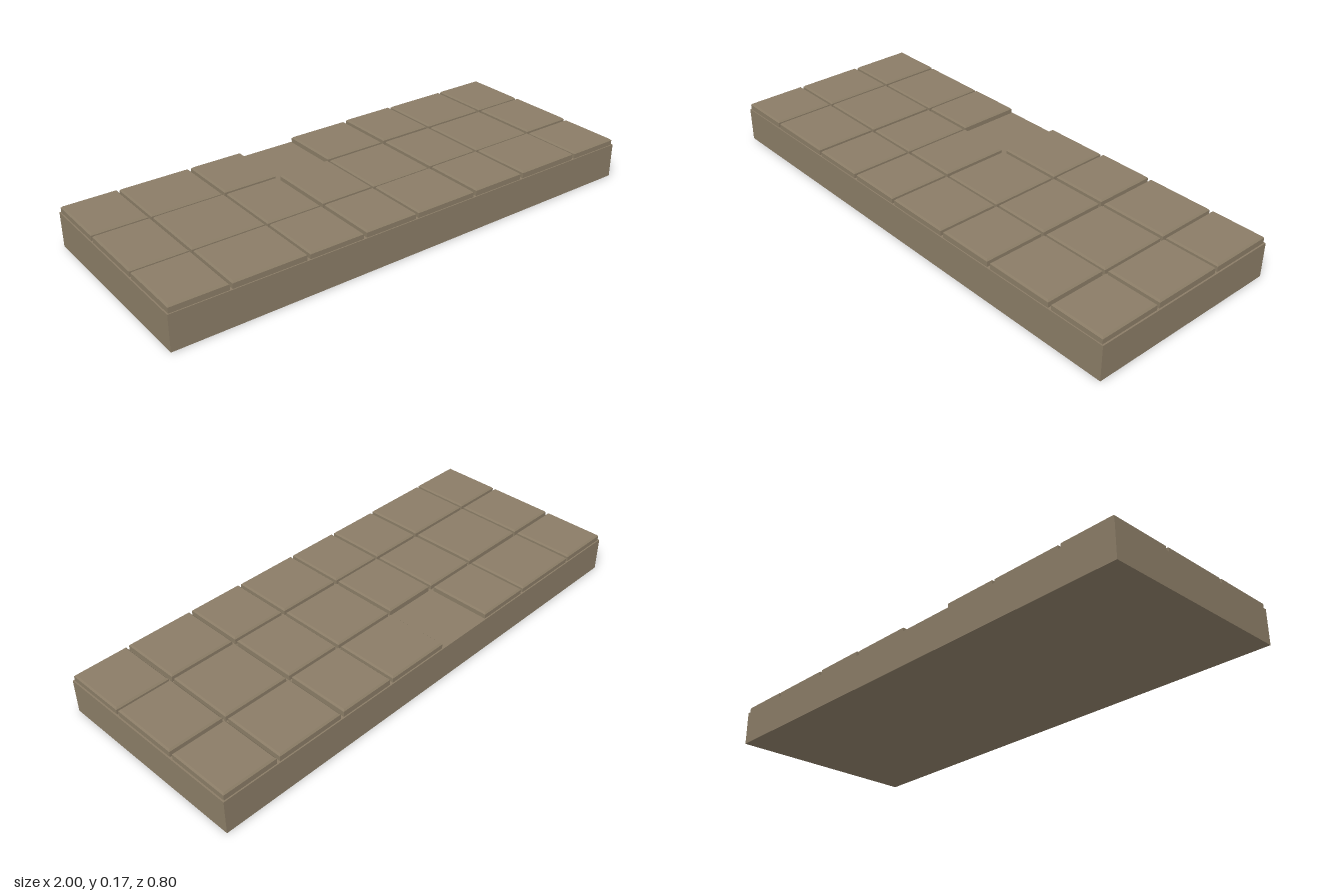
import * as THREE from 'three';

const SLAB_TOP = 0.138;
const CHAMFER = 0.006;

// Box whose top edges are chamfered; stands on y = 0
function chamferedTile(w, h, d) {
  const geo = new THREE.BoxGeometry(w, h, d, 1, 2, 1);
  const p = geo.attributes.position;
  for (let i = 0; i < p.count; i++) {
    const y = p.getY(i);
    if (y > h / 4) {
      p.setX(i, p.getX(i) - Math.sign(p.getX(i)) * CHAMFER);
      p.setZ(i, p.getZ(i) - Math.sign(p.getZ(i)) * CHAMFER);
    }
    p.setY(i, y > h / 4 ? h : y > -h / 4 ? h - CHAMFER : 0);
  }
  geo.computeVertexNormals();
  return geo;
}

export function createModel() {
  const model = new THREE.Group();
  model.name = 'pavedSlab';
  const stone = new THREE.MeshStandardMaterial({ color: 0x8a7c66, flatShading: true });
  stone.name = 'brownStone';

  // Solid base
  const base = new THREE.Mesh(new THREE.BoxGeometry(2, SLAB_TOP, 0.8), stone);
  base.name = 'baseSlab';
  base.position.y = SLAB_TOP / 2;
  model.add(base);

  // Paving stones: uneven columns, three rows, slightly varied heights
  const columns = [[-0.995, -0.78], [-0.77, -0.487], [-0.475, -0.257], [-0.243, -0.027],
    [-0.015, 0.244], [0.258, 0.482], [0.496, 0.765], [0.778, 0.994]];
  const rows = [
    { name: 'back', z: [-0.395, -0.145], tops: [0.163, 0.161, 0.162, null, 0.162, 0.166, 0.164, 0.165] },
    { name: 'middle', z: [-0.132, 0.14], tops: [0.164, 0.163, 0.161, 0.164, 0.161, 0.164, 0.163, 0.166] },
    { name: 'front', z: [0.151, 0.396], tops: [0.165, 0.164, 0.162, 0.163, 0.163, 0.165, 0.165, 0.163] },
  ];
  for (const { name, z, tops } of rows) {
    columns.forEach(([x0, x1], c) => {
      if (tops[c] === null) return; // one stone is missing
      const h = tops[c] - SLAB_TOP;
      const tile = new THREE.Mesh(chamferedTile(x1 - x0, h, z[1] - z[0]), stone);
      tile.name = `${name}PavingStone${c + 1}`;
      tile.position.set((x0 + x1) / 2, SLAB_TOP, (z[0] + z[1]) / 2);
      model.add(tile);
    });
  }
  return model;
}
